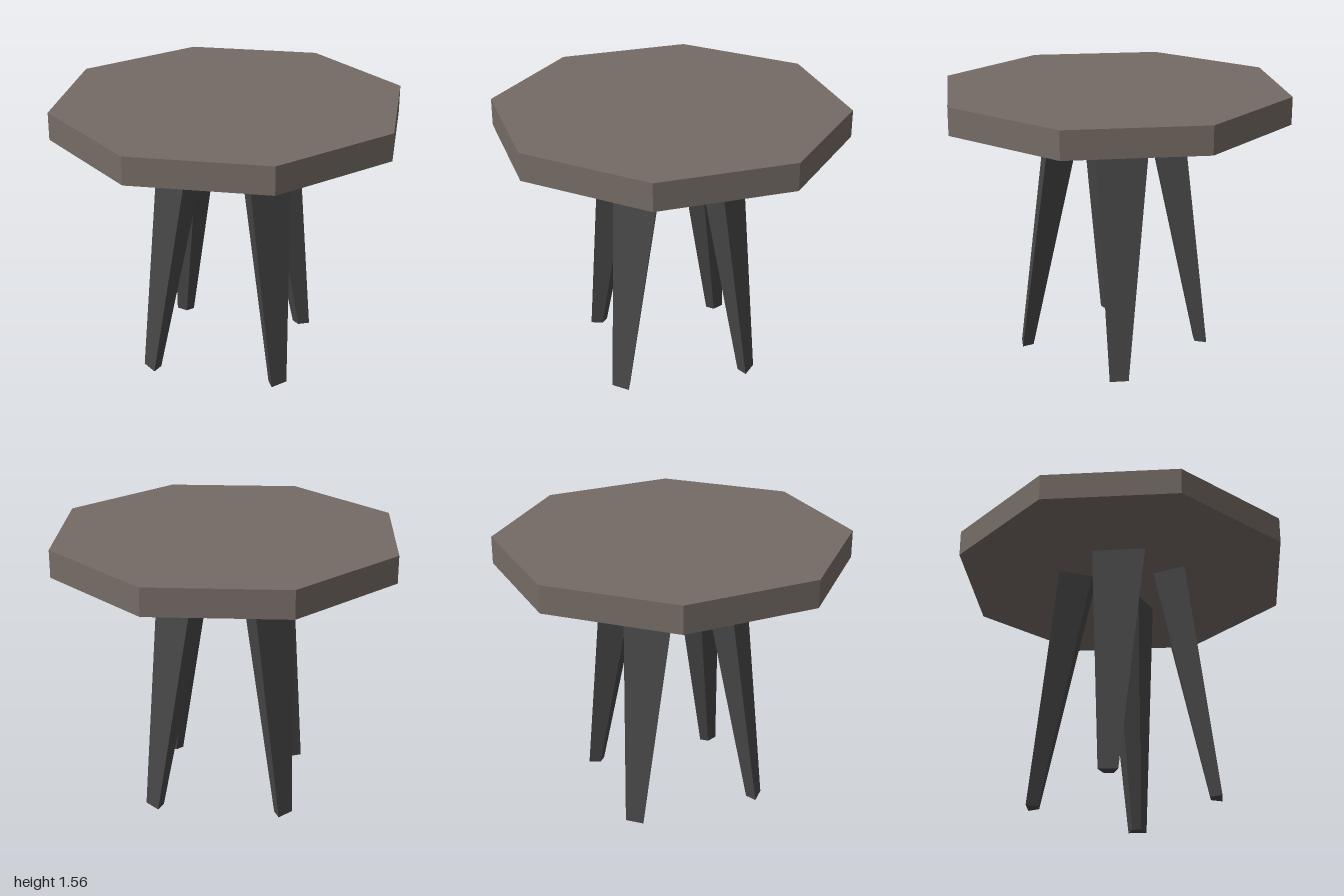
import * as THREE from 'three';

const TOP_Y = 1.56, UNDER_Y = 1.405;

// Tapered leg: a one-eighth ring segment at the top, shrunk and shifted at the foot
function legGeometry() {
  const polar = (r, a) => [r * Math.sin(a), r * Math.cos(a)];
  const section = [polar(0.4, -Math.PI / 4), polar(0.4, 0), polar(0.2, 0), polar(0.2, -Math.PI / 4)];
  const upper = section.map(([x, z]) => [x, UNDER_Y, z]);
  const foot = section.map(([x, z]) => [0.35 * x - 0.195, 0, 0.35 * z + 0.37]);
  const points = [];
  const quad = (a, b, c, d) => points.push(...a, ...b, ...c, ...a, ...c, ...d);
  for (let i = 0; i < 4; i++) {
    const j = (i + 1) % 4;
    quad(foot[i], foot[j], upper[j], upper[i]);
  }
  quad(...upper);
  quad(...foot.slice().reverse());
  const geometry = new THREE.BufferGeometry();
  geometry.setAttribute('position', new THREE.Float32BufferAttribute(points, 3));
  geometry.computeVertexNormals();
  return geometry;
}

export function createModel() {
  const model = new THREE.Group();
  model.name = 'table';
  const topMaterial = new THREE.MeshStandardMaterial({ color: 0x756b65, flatShading: true });
  const legMaterial = new THREE.MeshStandardMaterial({ color: 0x464646, flatShading: true });

  // Octagonal top
  const top = new THREE.Mesh(new THREE.CylinderGeometry(1, 1, TOP_Y - UNDER_Y, 8), topMaterial);
  top.name = 'tableTop';
  top.position.y = (TOP_Y + UNDER_Y) / 2;
  model.add(top);

  // Four legs, a quarter turn apart
  const geometry = legGeometry();
  for (let i = 0; i < 4; i++) {
    const leg = new THREE.Mesh(geometry, legMaterial);
    leg.name = 'leg' + (i + 1);
    leg.rotation.y = i * Math.PI / 2;
    model.add(leg);
  }
  return model;
}
